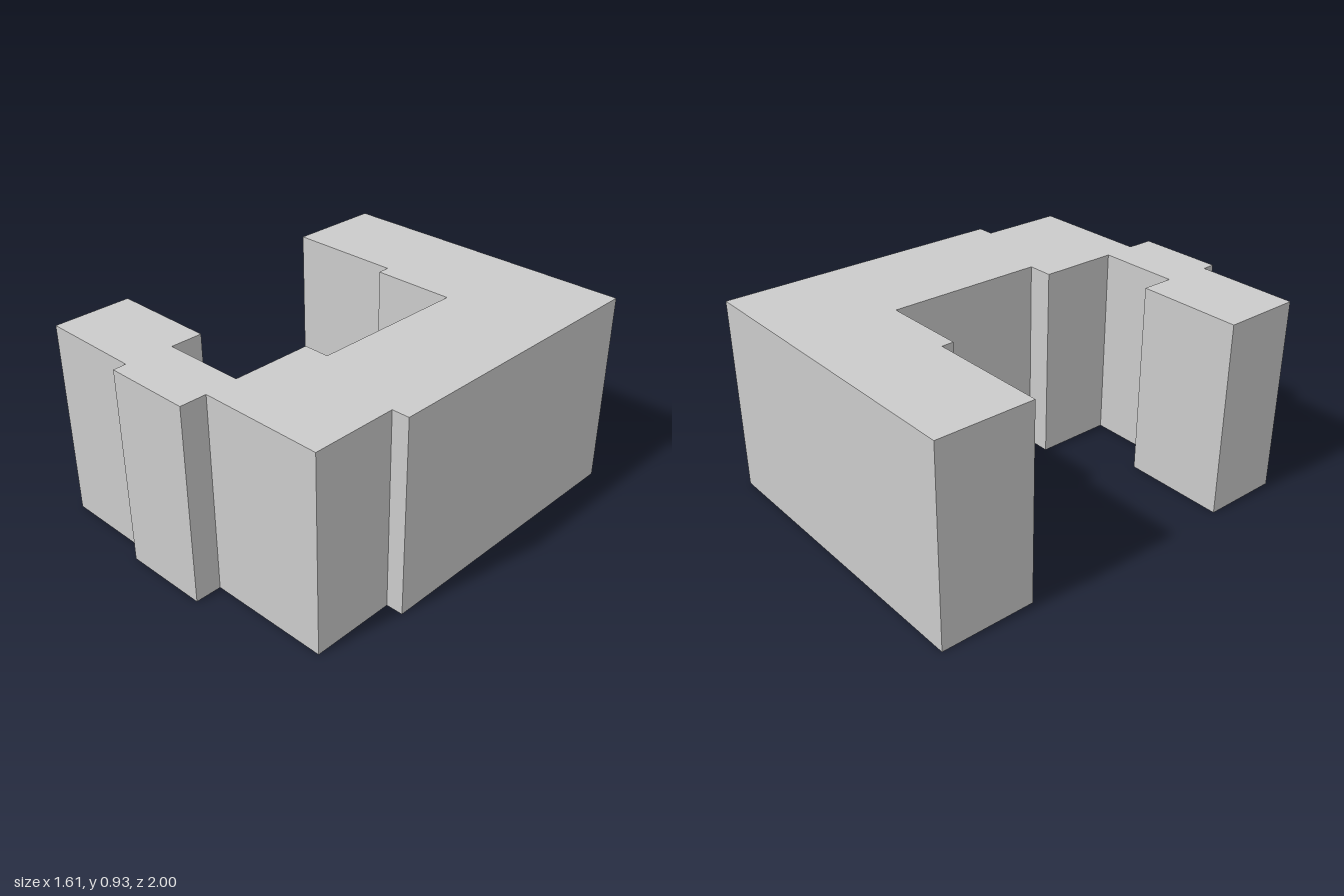
import * as THREE from 'three';
import { mergeGeometries } from 'three/addons/utils/BufferGeometryUtils.js';

const HEIGHT = 0.93;

// Footprint corners as [x, z], clockwise seen from above
const FOOTPRINT = [
  // back wing and long side
  [-0.807, -0.88], [0.692, -1], [0.805, 0.39], [0.725, 0.398], [0.757, 0.792],
  // front wing, outer face
  [0.183, 0.84], [0.192, 0.964], [-0.213, 0.998], [-0.22, 0.937], [-0.705, 0.974],
  // front wing, courtyard face
  [-0.735, 0.605], [-0.237, 0.565], [-0.225, 0.717], [0.162, 0.685],
  // courtyard
  [0.132, 0.311], [0.252, 0.301], [0.192, -0.45], [-0.207, -0.418], [-0.213, -0.475], [-0.772, -0.43],
];

// One upright panel between two corners, facing outward
function wallPanel([x1, z1], [x2, z2]) {
  const dx = x2 - x1, dz = z2 - z1;
  return new THREE.PlaneGeometry(Math.hypot(dx, dz), HEIGHT)
    .rotateY(Math.atan2(dz, -dx))
    .translate((x1 + x2) / 2, HEIGHT / 2, (z1 + z2) / 2);
}

export function createModel() {
  const building = new THREE.Group();
  building.name = 'building';
  const material = new THREE.MeshStandardMaterial({
    color: 0xcccccc, flatShading: true, side: THREE.DoubleSide,
  });

  // Walls; the shell is open underneath
  const panels = FOOTPRINT.map((p, i) => wallPanel(p, FOOTPRINT[(i + 1) % FOOTPRINT.length]));
  const walls = new THREE.Mesh(mergeGeometries(panels), material);
  walls.name = 'walls';

  // Flat roof
  const outline = new THREE.Shape(FOOTPRINT.map(([x, z]) => new THREE.Vector2(x, -z)));
  const roof = new THREE.Mesh(
    new THREE.ShapeGeometry(outline).rotateX(-Math.PI / 2).translate(0, HEIGHT, 0), material);
  roof.name = 'roof';

  building.add(walls, roof);
  return building;
}
